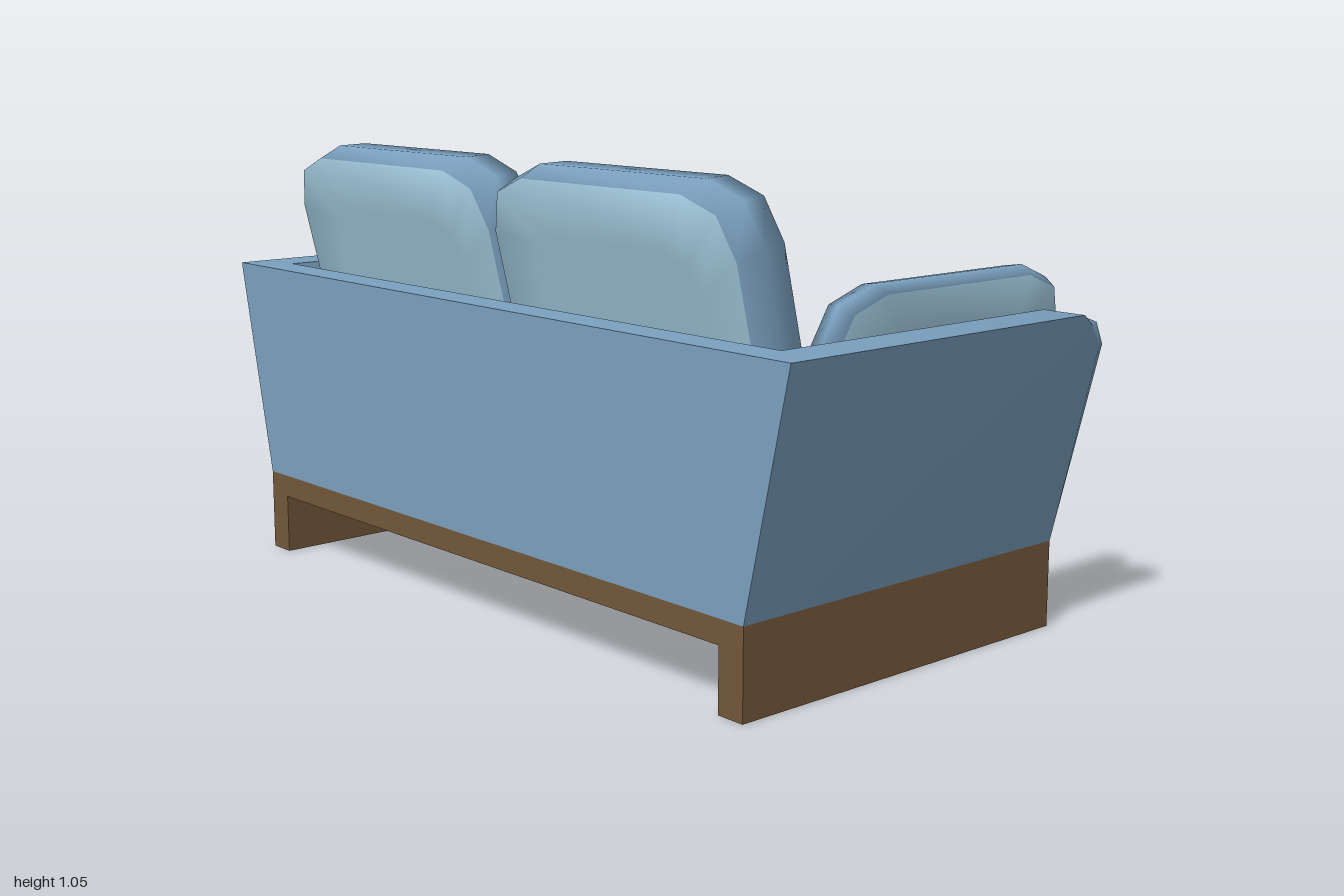
import * as THREE from 'three';
import { toCreasedNormals } from 'three/addons/utils/BufferGeometryUtils.js';

const mat = (name, color) => {
  const m = new THREE.MeshStandardMaterial({ color });
  m.name = name;
  return m;
};

// Padded cushion in the xy plane: coloured band around the rim, lighter panel on both faces
function cushionGeometry(w, h, t, c) {
  const rings = [[0.14, t / 2], [0.013, t / 2], [0, 0], [0.013, -t / 2], [0.14, -t / 2]];
  const pos = [], n = 12;
  for (const [inset, z] of rings) {
    for (let q = 0; q < 4; q++) {
      // three points per corner, walked anticlockwise
      const sx = q === 0 || q === 3 ? 1 : -1, sy = q < 2 ? 1 : -1;
      const corner = [[0, c], [0.28 * c, 0.28 * c], [c, 0]];
      if (sx * sy < 0) corner.reverse();
      for (const [dx, dy] of corner) {
        const x = sx * (w / 2 - dx), y = sy * (h / 2 - dy);
        pos.push(x * (1 - 2 * inset / w), y * (1 - 2 * inset / h), z);
      }
    }
  }
  pos.push(0, 0, t / 2, 0, 0, -t / 2);
  const panel = [], band = [];
  for (let i = 0; i < n; i++) {
    const j = (i + 1) % n;
    panel.push(60, i, j, 61, 48 + j, 48 + i);
    for (let r = 0; r < 4; r++) {
      const a = r * n + i, b = r * n + j;
      (r === 0 || r === 3 ? panel : band).push(a, a + n, b + n, a, b + n, b);
    }
  }
  const g = new THREE.BufferGeometry();
  g.setAttribute('position', new THREE.Float32BufferAttribute(pos, 3));
  g.setIndex([...panel, ...band]);
  g.addGroup(0, panel.length, 0);
  g.addGroup(panel.length, band.length, 1);
  g.computeVertexNormals();
  return g;
}

const polygon = pts => new THREE.Shape(pts.map(p => new THREE.Vector2(...p)));
const outerZ = y => 0.88 + (y - 0.2) * 0.224;
const innerZ = y => 0.8 + (y - 0.2) * 0.168;

// Flared arm: side profile extruded, then leaned outwards with a softened front edge
function armGeometry() {
  const shape = polygon([[-0.53, 0.2], [0.43, 0.2], [0.48, 0.655], [0.44, 0.71], [0.365, 0.735], [-0.53, 0.735]]);
  const g = new THREE.ExtrudeGeometry(shape, { depth: 1, steps: 6, bevelEnabled: false });
  const p = g.attributes.position;
  for (let i = 0; i < p.count; i++) {
    const x = p.getX(i), y = p.getY(i), t = p.getZ(i);
    if (x > 0.4 && (t < 0.01 || t > 0.99)) p.setX(i, x - 0.035 * (y - 0.2) / 0.45);
    p.setZ(i, THREE.MathUtils.lerp(innerZ(y), outerZ(y), t));
  }
  return toCreasedNormals(g, 0.75);
}

// Back wall: upright outside, sloping inside, ends following the arms
function backGeometry() {
  const shape = polygon([[-0.53, 0.2], [-0.32, 0.2], [-0.445, 0.735], [-0.53, 0.735]]);
  const g = new THREE.ExtrudeGeometry(shape, { depth: 2, bevelEnabled: false });
  const p = g.attributes.position;
  for (let i = 0; i < p.count; i++) {
    const y = p.getY(i);
    p.setZ(i, (p.getZ(i) - 1) * (innerZ(y) + 0.02));
  }
  g.computeVertexNormals();
  return g;
}

export function createModel() {
  const sofa = new THREE.Group();
  sofa.name = 'sofa';
  const light = mat('light blue fabric', 0x9fc6da);
  const blue = mat('blue fabric', 0x7ba1c0);
  const wood = mat('brown wood', 0x72573a);

  const add = (name, geo, material, x = 0, y = 0, z = 0) => {
    const m = new THREE.Mesh(geo, material);
    m.name = name;
    m.position.set(x, y, z);
    sofa.add(m);
    return m;
  };

  // Wooden base and fabric body
  add('basePlate', new THREE.BoxGeometry(0.96, 0.055, 1.62), wood, -0.05, 0.1725, 0);
  add('seatDeck', new THREE.BoxGeometry(0.96, 0.06, 1.64), blue, -0.05, 0.231, 0);
  add('backWall', backGeometry(), blue);

  const armGeo = armGeometry();
  const runnerGeo = new THREE.BoxGeometry(0.96, 0.2, 0.07);
  const seatGeo = cushionGeometry(0.725, 0.73, 0.125, 0.12);
  const backGeo = cushionGeometry(0.8, 0.8, 0.134, 0.135);
  const sideGeo = cushionGeometry(0.735, 0.59, 0.074, 0.13);
  const fabrics = [light, blue];

  for (const [side, s] of [['left', 1], ['right', -1]]) {
    add(side + 'Runner', runnerGeo, wood, -0.05, 0.1, s * 0.845);
    add(side + 'Arm', armGeo, blue).scale.z = s;
    add(side + 'SeatCushion', seatGeo, fabrics, 0.1625, 0.3225, s * 0.365).rotation.x = -Math.PI / 2;
    add(side + 'BackCushion', backGeo, fabrics, -0.341, 0.661, s * 0.4)
      .rotation.set(0, Math.PI / 2, 0.236, 'ZYX');
    add(side + 'ArmCushion', sideGeo, fabrics, 0.0775, 0.547, s * 0.809).rotation.x = s * 0.19;
  }
  return sofa;
}
